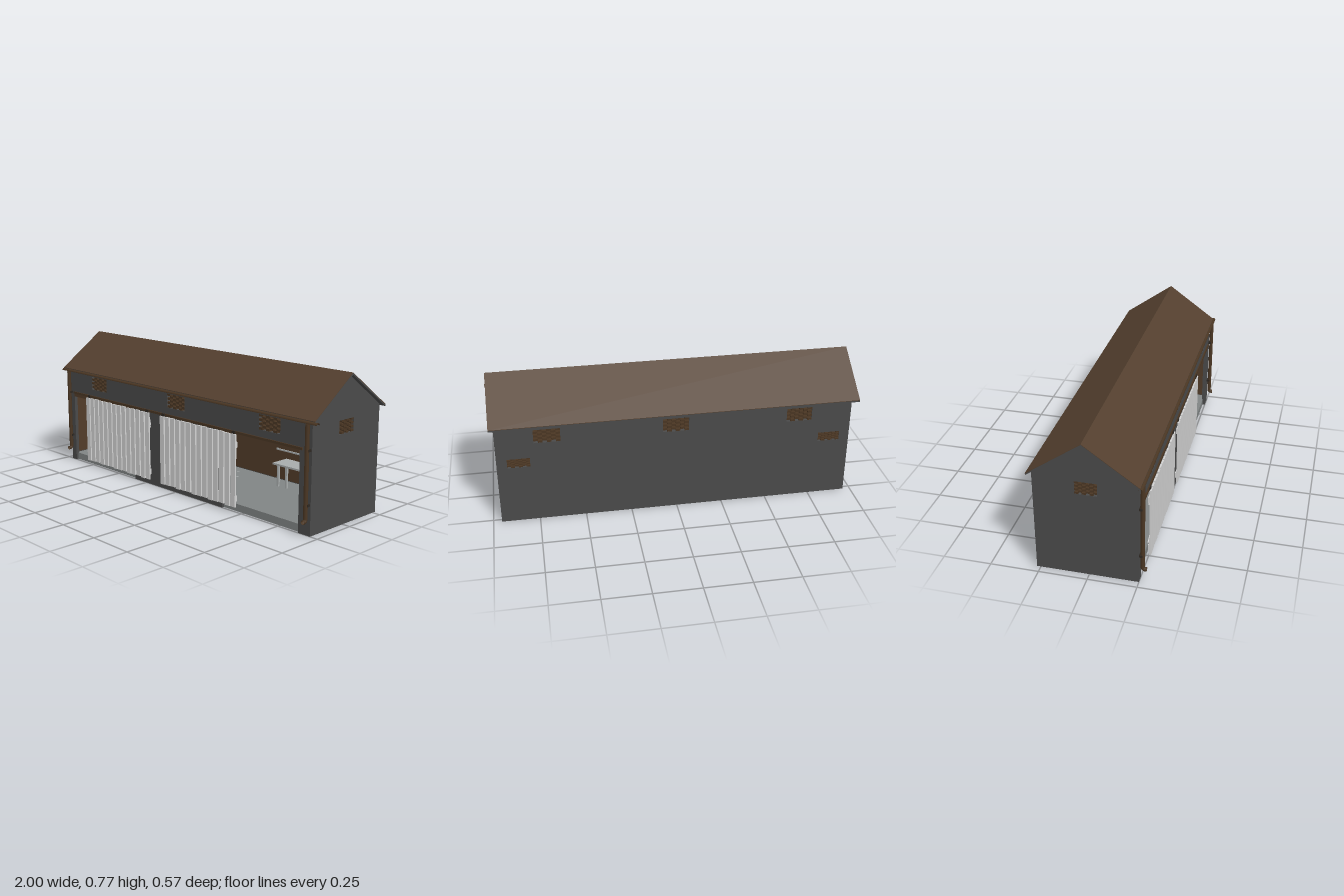
import * as THREE from 'three';

const mat = (name, color) => {
  const m = new THREE.MeshStandardMaterial({ color });
  m.name = name;
  return m;
};

export function createModel() {
  const grey = mat('dark grey wall', 0x4a4a4a);
  const brown = mat('roof brown', 0x54402f);
  const timber = mat('interior timber', 0x523c29);
  const pipe = mat('gutter brown', 0x4a3623);
  const white = mat('door white', 0xd2d2d2);
  const concrete = mat('floor concrete', 0x808484);
  const metal = mat('bench metal', 0xa8acac);
  const dark = mat('dark fittings', 0x2e2822);

  const model = new THREE.Group();
  model.name = 'stableBuilding';
  const add = (name, geo, m, x = 0, y = 0, z = 0, parent = model) => {
    const mesh = new THREE.Mesh(geo, m);
    mesh.name = name;
    mesh.position.set(x, y, z);
    parent.add(mesh);
    return mesh;
  };
  // box given by its two corners
  const box = (name, m, x0, x1, y0, y1, z0, z1, parent = model) =>
    add(name, new THREE.BoxGeometry(x1 - x0, y1 - y0, z1 - z0), m,
      (x0 + x1) / 2, (y0 + y1) / 2, (z0 + z1) / 2, parent);
  // flat panel with rectangular holes [centre, width, bottom, top]
  const panel = (points, holes, depth) => {
    const s = new THREE.Shape(points.map(p => new THREE.Vector2(p[0], p[1])));
    for (const [c, w, b, t] of holes) {
      s.holes.push(new THREE.Path([[c - w / 2, b], [c - w / 2, t], [c + w / 2, t], [c + w / 2, b]]
        .map(p => new THREE.Vector2(p[0], p[1]))));
    }
    return new THREE.ExtrudeGeometry(s, { depth, bevelEnabled: false });
  };

  // Vents: staggered brick lattice
  const vent = (name, [c, w, b, t], z, parent, phase = 0) => {
    const g = new THREE.Group();
    g.name = name;
    const rows = 7, cols = 6, dw = w / cols, dh = (t - b) / rows;
    for (let r = 0; r < rows; r++) {
      for (let k = 0; k < cols; k++) {
        if ((r + k + phase) % 2) continue;
        box('ventBrick', pipe, c - w / 2 + k * dw - 0.0005, c - w / 2 + (k + 1) * dw + 0.0005,
          b + r * dh - 0.0005, b + (r + 1) * dh + 0.0005, z, z + 0.018, g);
      }
    }
    parent.add(g);
  };
  const high = [-0.67, 0.005, 0.685].map(x => [x, 0.14, 0.468, 0.545]);
  const low = [-0.845, 0.84].map(x => [x, 0.12, 0.33, 0.382]);
  const sideVent = [-0.006, 0.112, 0.467, 0.536];

  // Front wall with two door openings
  add('frontWall', panel([[-0.96, 0], [-0.92, 0], [-0.92, 0.42], [-0.35, 0.42], [-0.35, 0],
    [0.36, 0], [0.36, 0.42], [0.88, 0.42], [0.88, 0], [0.955, 0], [0.955, 0.57], [-0.96, 0.57]],
  high, 0.02), grey, 0, 0, 0.23);
  high.forEach((v, i) => vent('frontVent', v, 0.231, model, i ? 0 : 1));

  // Back wall and its timber lining
  const backHoles = [...high, ...low];
  add('backWall', panel([[-0.96, 0], [0.955, 0], [0.955, 0.57], [-0.96, 0.57]], backHoles, 0.02),
    grey, 0, 0, -0.27);
  add('backLining', panel([[-0.94, 0.045], [0.935, 0.045], [0.935, 0.56], [-0.94, 0.56]], backHoles, 0.004),
    timber, 0, 0, -0.25);
  backHoles.forEach(v => vent('backVent', v, -0.269, model));

  // Gable ends, extruded towards -x
  const gable = (name, x, liningX) => {
    const g = new THREE.Group();
    g.name = name;
    g.rotation.y = -Math.PI / 2;
    g.position.x = x;
    add('gableWall', panel([[-0.27, 0], [0.25, 0], [0.25, 0.572], [-0.01, 0.756], [-0.27, 0.572]],
      [sideVent], 0.02), grey, 0, 0, 0, g);
    add('gableLining', panel([[-0.25, 0.045], [0.23, 0.045], [0.23, 0.57], [-0.01, 0.74], [-0.25, 0.57]],
      [sideVent], 0.004), timber, 0, 0, liningX, g);
    vent('gableVent', sideVent, 0.001, g);
    model.add(g);
  };
  gable('rightGable', -0.94, -0.004);
  gable('leftGable', 0.955, 0.02);

  // Roof: grey deck with a brown covering
  const roof = (name, m, top, t) => {
    const geo = panel([[0.265, top - 0.195], [-0.01, top], [-0.285, top - 0.195],
      [-0.285, top - 0.195 - t], [-0.01, top - t], [0.265, top - 0.195 - t]], [], 1.98);
    add(name, geo, m, 0.98, 0, 0).rotation.y = -Math.PI / 2;
  };
  roof('roofDeck', grey, 0.764, 0.008);
  roof('roofCovering', brown, 0.767, 0.003);

  // Floor and front kerbs
  box('floor', concrete, -0.94, 0.935, 0.036, 0.04, -0.25, 0.23);
  for (const [a, b] of [[-0.92, -0.35], [0.36, 0.88]]) {
    box('kerb', concrete, a, b, 0, 0.04, 0.226, 0.236);
    box('openingHeader', timber, a, b, 0.4, 0.42, 0.228, 0.252);
  }
  for (const [x, z, r] of [[-0.03, -0.18, 0.022], [0.03, -0.14, 0.014], [0.06, -0.18, 0.008],
    [0.12, -0.11, 0.008], [-0.07, -0.2, 0.008], [-0.05, -0.08, 0.008]]) {
    add('floorDrain', new THREE.CylinderGeometry(r, r, 0.006, 16), metal, x, 0.038, z);
  }

  // Door rail
  box('doorRail', pipe, -0.92, 0.9, 0.418, 0.431, 0.25, 0.257);

  // Sliding slatted doors
  const door = (name, x0, x1, count, braced) => {
    const g = new THREE.Group();
    g.name = name;
    const pitch = (x1 - x0) / count;
    for (let i = 0; i < count; i++) {
      const dy = (i * 7 % 3) * 0.002;
      box('slat', white, x0 + i * pitch, x0 + i * pitch + pitch * 0.77, 0.029 + dy, 0.416 + dy / 2, 0.259, 0.268, g);
    }
    for (const y of [0.06, 0.345]) box('batten', white, x0, x1 - 0.01, y, y + 0.032, 0.252, 0.259, g);
    if (braced) {
      const w = x1 - x0 - 0.03, h = 0.27;
      for (const s of [-1, 1]) {
        const brace = add('brace', new THREE.BoxGeometry(Math.hypot(w, h), 0.05, 0.005), white,
          (x0 + x1) / 2 - 0.005, 0.22, s < 0 ? 0.2565 : 0.2535, g);
        brace.rotation.z = s * Math.atan2(h, w);
      }
    }
    for (const x of [x0 + 0.02, x1 - 0.03]) box('hanger', dark, x - 0.01, x + 0.01, 0.405, 0.432, 0.257, 0.262, g);
    model.add(g);
  };
  door('rightDoor', -0.78, -0.193, 14, true);
  door('leftDoor', -0.108, 0.48, 14, false);

  // Gutter: open half pipe along the front eave
  const gutterMat = pipe.clone();
  gutterMat.name = 'gutter brown two-sided';
  gutterMat.side = THREE.DoubleSide;
  const gutter = add('gutter', new THREE.CylinderGeometry(0.011, 0.011, 2, 12, 1, true, Math.PI, Math.PI),
    gutterMat, 0, 0.557, 0.266);
  gutter.rotation.z = Math.PI / 2;
  gutter.rotation.order = 'XYZ';
  gutter.geometry.rotateY(Math.PI);
  // Downpipes with an outward elbow
  for (const x of [-0.948, 0.937]) {
    const path = new THREE.CurvePath();
    const V = (y, z) => new THREE.Vector3(x, y, z);
    path.add(new THREE.LineCurve3(V(0.553, 0.266), V(0.09, 0.266)));
    path.add(new THREE.QuadraticBezierCurve3(V(0.09, 0.266), V(0.075, 0.266), V(0.075, 0.276)));
    path.add(new THREE.LineCurve3(V(0.075, 0.276), V(0.075, 0.286)));
    add('downpipe', new THREE.TubeGeometry(path, 80, 0.011, 12), gutterMat);
    for (const y of [0.15, 0.42]) box('pipeClip', dark, x - 0.013, x + 0.013, y, y + 0.012, 0.25, 0.267);
  }

  // Benches along the back
  for (const [a, b, legs] of [[0.37, 0.88, [0.4, 0.46]], [-0.912, -0.4, [-0.905, -0.42]]]) {
    box('benchTop', metal, a, b, 0.16, 0.17, -0.245, -0.13);
    for (const x of legs) box('benchLeg', metal, x - 0.006, x + 0.006, 0.04, 0.16, -0.15, -0.138);
  }

  // Notice board frame and pegs on the back lining
  for (const y of [0.21, 0.372]) box('boardRail', metal, 0.3, 0.71, y, y + 0.008, -0.246, -0.238);
  for (const x of [0.3, 0.702]) box('boardStile', metal, x, x + 0.008, 0.21, 0.38, -0.246, -0.238);
  for (const [x, y] of [[0.53, 0.28], [0.59, 0.33], [0.65, 0.26], [0.66, 0.31], [0.735, 0.345]]) {
    add('peg', new THREE.CylinderGeometry(0.005, 0.005, 0.008, 10), dark, x, y, -0.243).rotation.x = Math.PI / 2;
  }
  return model;
}
